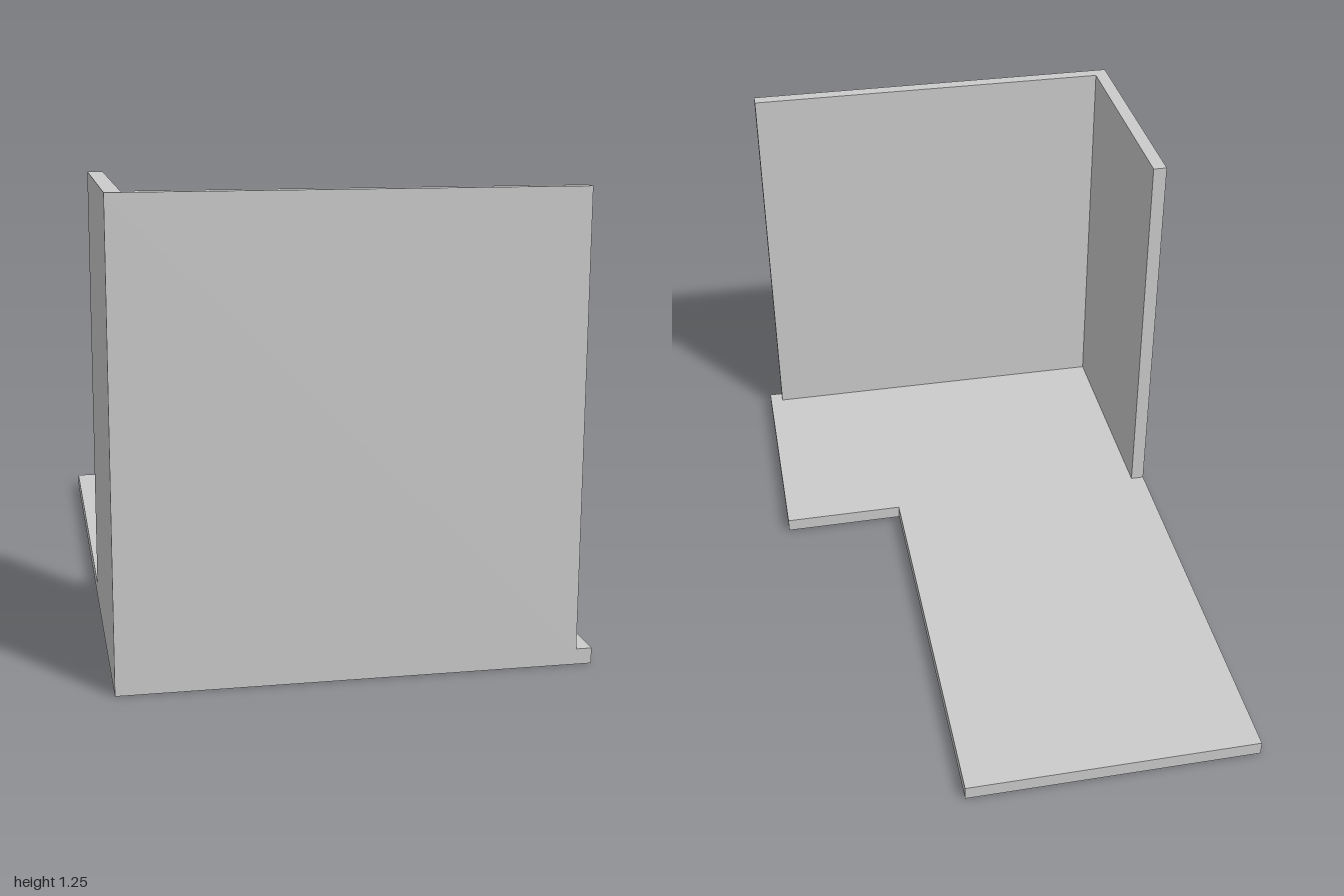
import * as THREE from 'three';

const T = 0.042; // panel thickness
const W = 0.623; // half width
const H = 1.25; // overall height
const STEP = 0.25; // where the floor narrows and the side wall ends

export function createModel() {
  const group = new THREE.Group();
  const material = new THREE.MeshStandardMaterial({ color: 0xcccccc, flatShading: true });

  // Extrudes a plan outline of [x, z] corners upward from y
  const addPanel = (name, plan, y, height) => {
    const shape = new THREE.Shape(plan.map(([x, z]) => new THREE.Vector2(x, -z)));
    const geometry = new THREE.ExtrudeGeometry(shape, { depth: height, bevelEnabled: false });
    geometry.rotateX(-Math.PI / 2);
    const mesh = new THREE.Mesh(geometry, material);
    mesh.name = name;
    mesh.position.y = y;
    group.add(mesh);
  };

  // L-shaped floor, wide at the front
  addPanel('floor', [
    [-W, 1], [W, 1], [W, STEP], [0.245, STEP], [0.245, -1], [-W, -1],
  ], 0, T);

  // Front and side walls joined at the corner, stopping short of the floor's left edge
  addPanel('cornerWalls', [
    [-W, 1], [W - T, 1], [W - T, 1 - T], [-W + T, 1 - T], [-W + T, STEP], [-W, STEP],
  ], T, H - T);

  return group;
}
